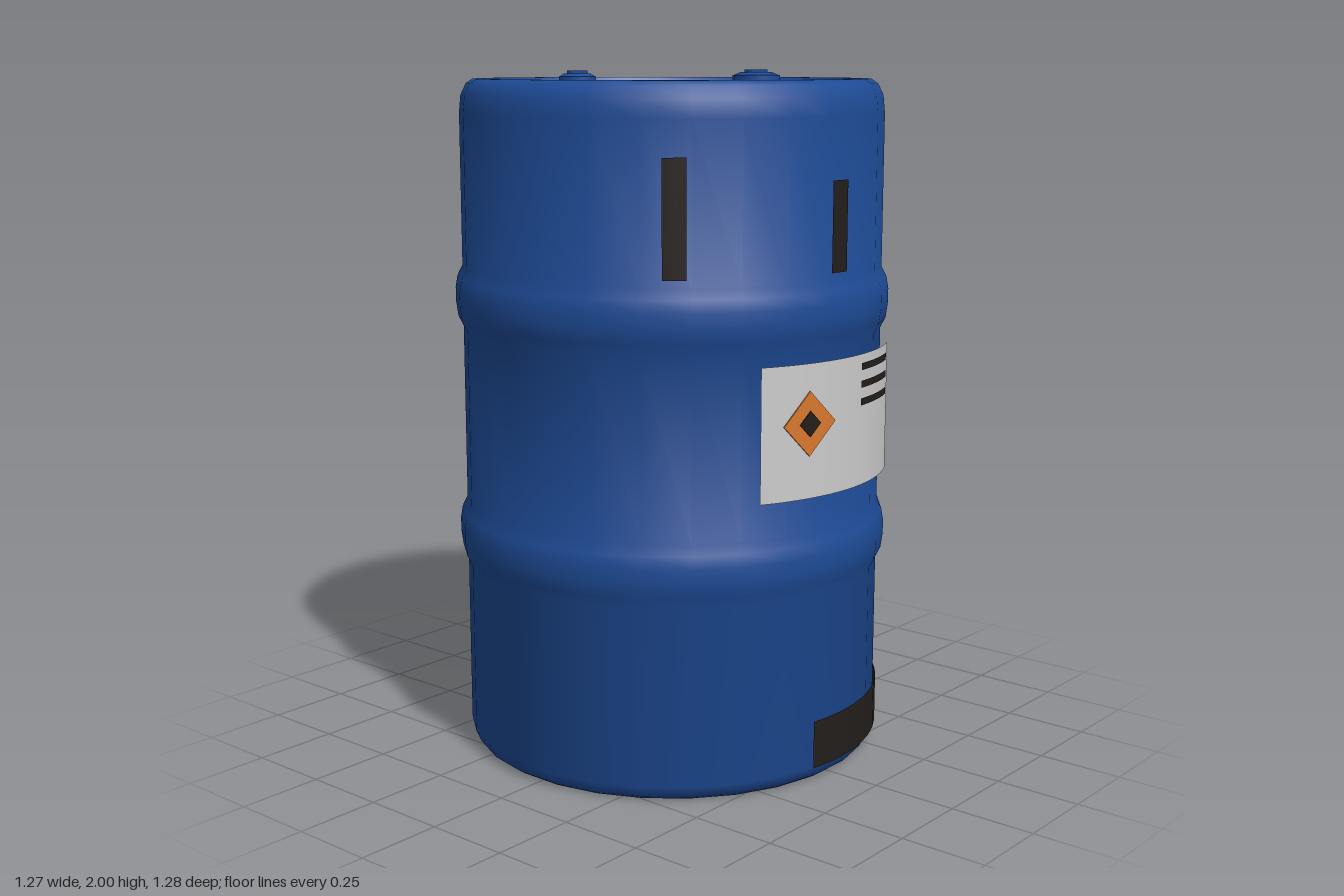
import * as THREE from 'three';
import { toCreasedNormals } from 'three/addons/utils/BufferGeometryUtils.js';

const SIDES = 28;
const mat = (color) => new THREE.MeshStandardMaterial({ color });
const blue = mat(0x1e4b96);
const dark = mat(0x231e1a);
const orange = mat(0xd9772f);
const paper = mat(0xcccccc);
for (const m of [dark, paper]) m.side = THREE.DoubleSide;

export function createModel() {
  const model = new THREE.Group();
  model.name = 'drum';
  model.position.z = -0.01;

  const add = (name, geometry, material, x = 0, y = 0, z = 0, parent = model) => {
    const mesh = new THREE.Mesh(geometry, material);
    mesh.name = name;
    mesh.position.set(x, y, z);
    parent.add(mesh);
    return mesh;
  };

  // Curved sheet on the wall; angles in degrees from the front towards +x
  const patch = (name, material, r, a0, a1, y0, y1, segments) => {
    const rad = THREE.MathUtils.degToRad;
    add(name, new THREE.CylinderGeometry(r, r, y1 - y0, segments, 1, true, rad(a0), rad(a1 - a0)),
      material, 0, (y0 + y1) / 2);
  };

  // Drum shell: recessed base, two rolling hoops, rounded shoulder, recessed lid
  const hoop = (y) => [
    [0.616, y - 0.095], [0.631, y - 0.065], [0.637, y - 0.02],
    [0.637, y + 0.02], [0.631, y + 0.055], [0.616, y + 0.085],
  ];
  const profile = [
    [0, 0.035], [0.535, 0.035], [0.55, 0.005], [0.585, 0.005], [0.6, 0.015], [0.616, 0.05],
    ...hoop(0.66), ...hoop(1.355),
    [0.616, 1.88], [0.611, 1.93], [0.595, 1.963], [0.575, 1.976],
    [0.553, 1.976], [0.54, 1.95], [0, 1.95],
  ].map(([r, y]) => new THREE.Vector2(r, y));
  const shell = new THREE.LatheGeometry(profile, SIDES, Math.PI / SIDES);
  add('shell', toCreasedNormals(shell, 0.7), blue);

  // Bung caps on the lid: flange, octagonal plug and grip bar
  for (const [name, x, rFlange, rPlug, grip] of [
    ['smallBung', -0.4, 0.07, 0.052, 0.07],
    ['largeBung', 0.4, 0.09, 0.073, 0.1],
  ]) {
    const bung = new THREE.Group();
    bung.name = name;
    bung.position.set(x, 1.95, 0);
    const flange = new THREE.CylinderGeometry(rFlange, rFlange, 0.016, 14);
    const plug = new THREE.CylinderGeometry(rPlug * 0.68, rPlug, 0.01, 8);
    const neck = new THREE.CylinderGeometry(rPlug, rPlug, 0.034, 12);
    plug.scale(1, 1, 1);
    add('flange', toCreasedNormals(flange, 0.7), blue, 0, 0.008, 0, bung);
    add('neck', toCreasedNormals(neck, 0.7), blue, 0, 0.017, 0, bung);
    add('plug', toCreasedNormals(plug, 0.4), blue, 0, 0.037, 0, bung);
    add('grip', new THREE.BoxGeometry(grip, 0.018, 0.012), blue, 0, 0.041, 0, bung);
    model.add(bung);
  }

  // Label with text bars
  patch('label', paper, 0.64, -28, 28, 0.85, 1.225, 16);
  for (const y of [1.09, 1.14, 1.19]) patch('labelBar', dark, 0.643, 5.5, 23.8, y - 0.01, y + 0.01, 8);

  // Warning diamond: a flat plate with a smaller one on it
  const sign = new THREE.Group();
  sign.name = 'warningDiamond';
  sign.rotation.y = -0.25;
  sign.position.y = 1.06;
  for (const [name, half, z, material] of [
    ['diamond', 0.09, 0.644, orange],
    ['diamondCentre', 0.036, 0.647, dark],
  ]) {
    const side = half * Math.SQRT2;
    add(name, new THREE.BoxGeometry(side, side, 0.004), material, 0, 0, z, sign).rotation.z = Math.PI / 4;
  }
  model.add(sign);

  // Dark tape: wide foot strip and four upright marks
  patch('footStrip', dark, 0.624, -9.7, 49.8, 0.05, 0.19, 10);
  for (const [a0, a1, top] of [
    [-52.2, -46.3, 1.78], [-5.5, 0.5, 1.71], [109.8, 113.3, 1.845], [146.2, 150.6, 1.73],
  ]) patch('wallMark', dark, 0.622, a0, a1, 1.46, top, 1);

  const root = new THREE.Group();
  root.add(model);
  return root;
}
